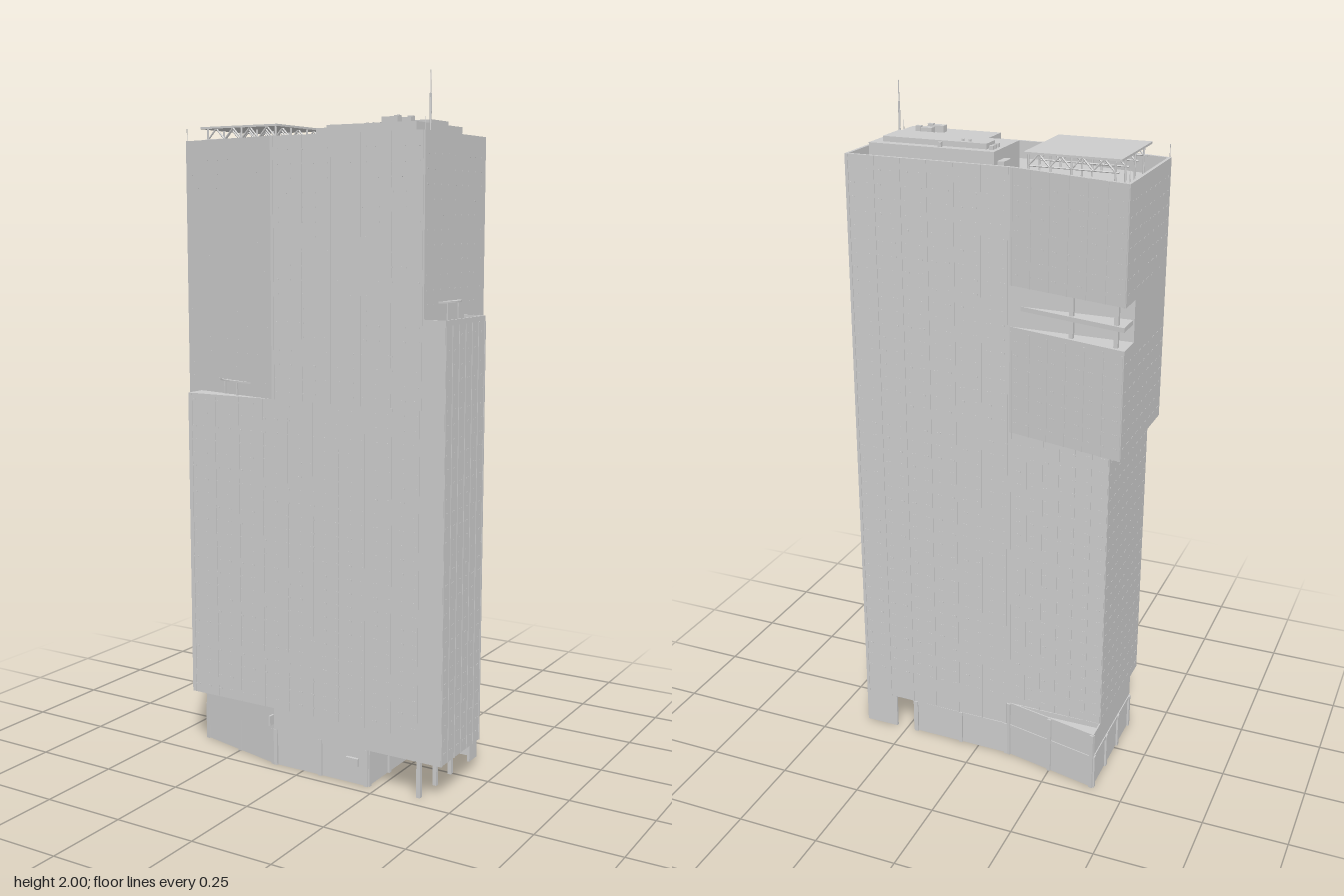
import * as THREE from 'three';
import { mergeGeometries } from 'three/addons/utils/BufferGeometryUtils.js';

const mat = new THREE.MeshStandardMaterial({ color: 0xcccccc, flatShading: true });

// Plan outlines as [x, z]
const HEX = [[-0.455, 0.135], [-0.1, 0.215], [0.39, 0.215], [0.39, -0.153], [-0.1, -0.153], [-0.455, -0.235]];
const NOTCHED = [...HEX.slice(0, 4), [-0.455, -0.153]];
const WEDGE = [[-0.455, -0.15], [-0.1, -0.153], [-0.455, -0.235]];
const LOWER = [[-0.4, 0.215], [0.39, 0.215], [0.39, -0.153], [-0.4, -0.153]];
const BAND = [[-0.4, 0.147], [-0.1, 0.215], [0.39, 0.215], [0.39, -0.153], [-0.4, -0.153]];
const PODIUM = [[-0.4, 0.14], [-0.1, 0.21], [0.22, 0.21], [0.22, -0.15], [-0.1, -0.153], [-0.4, -0.216]];
const BACKWEDGE = [[-0.4, -0.15], [-0.1, -0.153], [-0.4, -0.216]];
const ANNEX = [[0.385, 0.215], [0.455, 0.215], [0.455, -0.03], [0.385, -0.03]];

const toShape = (pts) => new THREE.Shape(pts.map(([x, z]) => new THREE.Vector2(x, -z)));

// Vertical prism over a plan outline, optionally hollow
function prism(pts, y0, y1, hole) {
  const s = toShape(pts);
  if (hole) s.holes.push(toShape(hole));
  return new THREE.ExtrudeGeometry(s, { depth: y1 - y0, bevelEnabled: false, curveSegments: 12 })
    .rotateX(-Math.PI / 2).translate(0, y0, 0);
}

// Outline moved inwards by t (outline runs counter-clockwise seen from above)
function inset(pts, t) {
  const n = pts.length;
  const dir = (a, b) => new THREE.Vector2(b[0] - a[0], b[1] - a[1]).normalize();
  return pts.map((p, i) => {
    const d0 = dir(pts[(i + n - 1) % n], p), d1 = dir(p, pts[(i + 1) % n]);
    const n0 = new THREE.Vector2(d0.y, -d0.x), n1 = new THREE.Vector2(d1.y, -d1.x);
    const k = t / (1 + n0.dot(n1));
    return [p[0] + (n0.x + n1.x) * k, p[1] + (n0.y + n1.y) * k];
  });
}
const ring = (pts, y0, y1, t) => prism(pts, y0, y1, inset(pts, t));

const box = (w, h, d, x, y, z) => new THREE.BoxGeometry(w, h, d).translate(x, y, z);

// Box set against the wall a-b at fraction t, standing out by d
function onWall(a, b, t, w, d, y0, y1) {
  const dx = b[0] - a[0], dz = b[1] - a[1];
  return new THREE.BoxGeometry(w, y1 - y0, d * 2).rotateY(Math.atan2(-dz, dx))
    .translate(a[0] + dx * t, (y0 + y1) / 2, a[1] + dz * t);
}

const wallLength = (a, b) => Math.hypot(b[0] - a[0], b[1] - a[1]);

function ribs(a, b, y0, y1, gap, w = 0.005, d = 0.002) {
  const n = Math.max(1, Math.round(wallLength(a, b) / gap));
  return Array.from({ length: n + 1 }, (_, i) =>
    onWall(a, b, THREE.MathUtils.lerp(0.015, 0.985, i / n), w, d, y0, y1));
}

// Small vent strips on every floor
function vents(a, b, y0, y1) {
  const out = [], n = Math.max(1, Math.round(wallLength(a, b) / 0.042));
  for (let y = y0 + 0.02; y < y1 - 0.015; y += 0.04)
    for (let i = 0; i < n; i++) out.push(onWall(a, b, (i + 0.5) / n, 0.014, 0.0008, y, y + 0.004));
  return out;
}

function beam(p, q, r = 0.0025) {
  const a = new THREE.Vector3(...p), b = new THREE.Vector3(...q), d = b.clone().sub(a);
  const g = new THREE.CylinderGeometry(r, r, d.length(), 6);
  g.applyQuaternion(new THREE.Quaternion().setFromUnitVectors(new THREE.Vector3(0, 1, 0), d.normalize()));
  return g.translate((p[0] + q[0]) / 2, (p[1] + q[1]) / 2, (p[2] + q[2]) / 2);
}

export function createModel() {
  const model = new THREE.Group();
  const add = (name, ...geos) => {
    const flat = geos.flat().map((g) => (g.index ? g.toNonIndexed() : g));
    const mesh = new THREE.Mesh(mergeGeometries(flat), mat);
    mesh.name = name;
    model.add(mesh);
  };

  // Tower body
  add('transferBand', prism(BAND, 0.11, 0.176));
  add('lowerTower', prism(LOWER, 0.175, 1.1));
  add('upperTower', prism(HEX, 1.09, 1.39), prism(NOTCHED, 1.39, 1.52), prism(HEX, 1.52, 1.79));
  add('roofParapet', ring(HEX, 1.79, 1.84, 0.009));
  add('sideAnnex', prism(ANNEX, 0.11, 1.33), ring(ANNEX, 1.33, 1.345, 0.005));

  // Open terraces cut into the rear wing
  add('skyTerrace', prism(WEDGE, 1.39, 1.403), prism(inset(WEDGE, 0.004), 1.452, 1.465),
    box(0.012, 0.13, 0.012, -0.425, 1.455, -0.212), box(0.012, 0.13, 0.012, -0.29, 1.455, -0.182));

  // Facade ribs and vents
  const [h0, h1, h2, h3, h4, h5] = HEX;
  const lowerFront = [[-0.4, 0.215], [0.39, 0.215]], lowerBack = [[0.39, -0.153], [-0.4, -0.153]];
  const lowerSide = [[-0.4, -0.153], [-0.4, 0.215]];
  add('facadeRibs',
    ribs(...lowerFront, 0.176, 1.1, 0.09), ribs(h1, h2, 1.1, 1.84, 0.09),
    ribs(h0, h1, 1.1, 1.84, 0.06), ribs(h3, h4, 0.11, 1.84, 0.08),
    ribs(h4, [-0.4, -0.153], 0.185, 1.09, 0.05),
    ribs(h4, h5, 1.09, 1.39, 0.06), ribs(h4, h5, 1.52, 1.84, 0.06),
    ribs(ANNEX[1], ANNEX[2], 0.11, 1.33, 0.04));
  const annexWall = [ANNEX[1], ANNEX[2]];
  add('floorVents',
    vents(...lowerFront, 0.18, 1.1), vents(...lowerBack, 0.19, 1.09), vents(...lowerSide, 0.18, 1.09),
    vents(h0, h1, 1.12, 1.82), vents(h1, h2, 1.1, 1.82), vents(h2, h3, 1.36, 1.82),
    vents([0.39, -0.03], h3, 0.12, 1.36), vents(h3, h4, 1.1, 1.82),
    vents(h4, h5, 1.1, 1.38), vents(h4, h5, 1.53, 1.82), vents(h5, h0, 1.53, 1.82),
    vents(h5, h0, 1.1, 1.38), vents(...annexWall, 0.12, 1.32));

  // Street-level podium, open beneath
  add('podiumWalls', ring(PODIUM, 0, 0.11, 0.006));
  add('podiumRear', prism(BACKWEDGE, 0.11, 0.17), ring(BACKWEDGE, 0.17, 0.187, 0.004));
  const piers = [];
  PODIUM.forEach((p, i) => {
    const q = PODIUM[(i + 1) % PODIUM.length];
    piers.push(ribs(p, q, 0, i === 4 ? 0.185 : 0.11, 0.14, 0.012, 0.006));
    piers.push(onWall(p, q, 0.5, wallLength(p, q) * 0.96, 0.003, 0.098, 0.11));
  });
  add('podiumPiers', piers.flat());
  add('wallSign', box(0.04, 0.024, 0.012, 0.17, 0.066, 0.213), box(0.006, 0.03, 0.02, -0.104, 0.14, 0.224));
  add('arcadeColumns', [0.2, 0.1, 0.005].map((z) => box(0.012, 0.112, 0.012, 0.38, 0.056, z)));
  add('arcadeWall', box(0.105, 0.112, 0.008, 0.3375, 0.056, -0.149), box(0.008, 0.112, 0.05, 0.386, 0.056, -0.128));

  // Curved canopies over the two terraces
  const bow = (a, c, b) => {
    const curve = new THREE.QuadraticBezierCurve(new THREE.Vector2(...a), new THREE.Vector2(...c), new THREE.Vector2(...b));
    return curve.getPoints(10).map((p) => [p.x, p.y]);
  };
  add('frontCanopy', prism(bow([-0.315, 0.168], [-0.27, 0.207], [-0.18, 0.206]), 1.138, 1.143),
    [[-0.29, 0.178], [-0.235, 0.196]].map(([x, z]) => box(0.005, 0.04, 0.005, x, 1.12, z)));
  add('sideCanopy', prism(bow([0.389, 0.132], [0.438, 0.06], [0.389, -0.008]), 1.384, 1.389),
    [0.03, 0.095].map((z) => box(0.004, 0.056, 0.004, 0.4, 1.357, z)));

  // Roof plant rooms
  add('penthouse', prism([[-0.037, 0.073], [0.055, 0.073], [0.055, 0.163], [0.335, 0.163], [0.335, -0.112], [-0.037, -0.112]], 1.79, 1.867));
  add('upperPlantRoom', prism([[-0.005, -0.025], [0.11, -0.025], [0.15, 0.017], [0.305, 0.017], [0.305, -0.085], [-0.005, -0.085]], 1.866, 1.882));
  add('roofUnits',
    [[0.248, 0.067], [0.23, 0.11]].flatMap(([x, z]) => [box(0.05, 0.02, 0.024, x, 1.876, z), box(0.016, 0.024, 0.014, x + 0.016, 1.878, z - 0.006)]),
    [-0.083, -0.064, -0.045].map((z) => box(0.011, 0.012, 0.011, -0.019, 1.872, z)),
    box(0.02, 0.05, 0.05, -0.05, 1.815, -0.07),
    [0.05, 0.07].map((x) => box(0.006, 0.006, 0.006, x, 1.885, -0.07)),
    box(0.01, 0.014, 0.01, 0.126, 1.873, -0.099));

  // Flat roof canopy on trusses
  add('roofCanopy', box(0.27, 0.006, 0.27, -0.265, 1.876, 0));
  const truss = [];
  for (const z of [-0.125, -0.04, 0.045, 0.125]) {
    truss.push(beam([-0.39, 1.842, z], [-0.14, 1.842, z]));
    for (let i = 0; i < 4; i++) {
      const x = -0.38 + i * 0.06;
      truss.push(beam([x, 1.842, z], [x + 0.03, 1.874, z]), beam([x + 0.03, 1.874, z], [x + 0.06, 1.842, z]));
    }
    for (const x of [-0.38, -0.26, -0.14]) truss.push(beam([x, 1.79, z], [x, 1.874, z], 0.003));
  }
  add('canopyTruss', truss);

  // Antenna and small corner rods
  add('antenna', beam([0.365, 1.79, 0.14], [0.365, 1.94, 0.14], 0.003), beam([0.365, 1.93, 0.14], [0.365, 2, 0.14], 0.0015));
  add('cornerRods', beam([-0.45, 1.84, 0.135], [-0.45, 1.875, 0.135], 0.001), beam([-0.45, 1.84, -0.228], [-0.45, 1.875, -0.228], 0.001),
    beam([0.386, 1.84, 0.21], [0.386, 1.875, 0.21], 0.001));
  return model;
}
